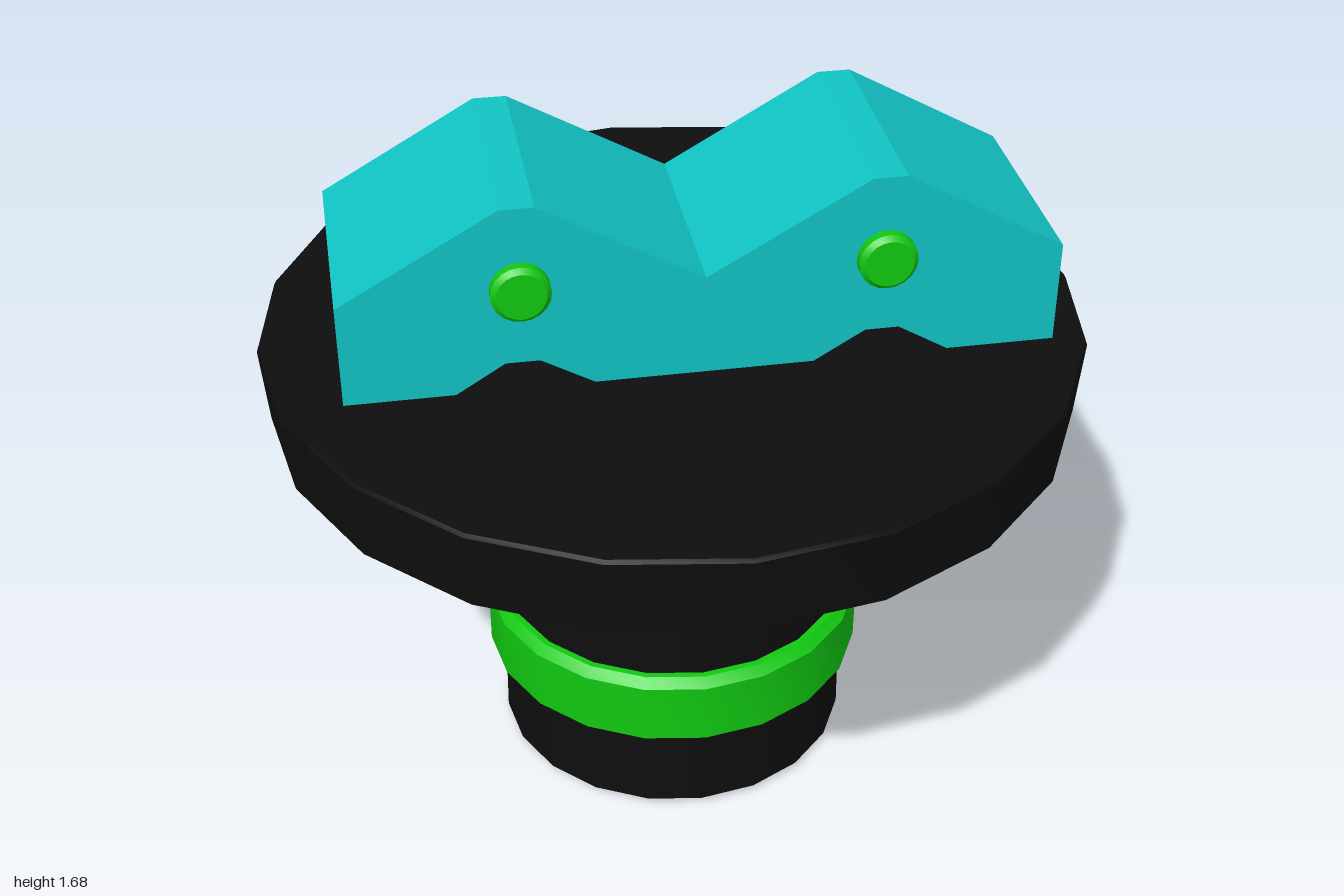
import * as THREE from 'three';
import { toCreasedNormals } from 'three/addons/utils/BufferGeometryUtils.js';

const mat = (color) => new THREE.MeshStandardMaterial({ color });
const black = mat(0x0e0e0e);
const green = mat(0x11c811);
const teal = mat(0x11c4c4);
const points = (list) => list.map(([x, y]) => new THREE.Vector2(x, y));

function addMesh(group, name, geometry, material) {
  const mesh = new THREE.Mesh(geometry, material);
  mesh.name = name;
  group.add(mesh);
  return mesh;
}

// Twenty-sided turned part, profile listed from bottom to top
const turned = (profile) =>
  toCreasedNormals(new THREE.LatheGeometry(points(profile), 20), 0.5);

export function createModel() {
  const group = new THREE.Group();

  // Cylindrical stem with a slightly bevelled foot
  addMesh(group, 'stem', turned([
    [0, 0], [0.435, 0], [0.45, 0.015], [0.447, 0.25], [0.44, 0.69], [0.44, 0.72],
  ]), black);

  // Stepped flange widening to the flat top plate
  addMesh(group, 'flange', turned([
    [0, 0.695], [0.45, 0.695], [0.5, 0.712], [0.59, 0.712], [0.755, 0.885],
    [0.8, 0.908], [0.985, 1.015], [1, 1.205], [0.995, 1.215], [0, 1.215],
  ]), black);

  // Raised band around the stem
  addMesh(group, 'band', turned([
    [0.43, 0.24], [0.465, 0.24], [0.485, 0.255], [0.485, 0.415],
    [0.46, 0.435], [0.43, 0.435],
  ]), green);

  // Double-peaked block with a notch under each peak
  const outline = points([
    [-0.81, 1.21], [-0.56, 1.21], [-0.435, 1.288], [-0.355, 1.288], [-0.22, 1.21],
    [0.28, 1.21], [0.41, 1.288], [0.49, 1.288], [0.62, 1.21], [0.873, 1.21],
    [0.873, 1.47], [0.49, 1.685], [0.41, 1.685], [0.03, 1.468],
    [-0.355, 1.685], [-0.435, 1.685], [-0.81, 1.47],
  ]);
  const block = new THREE.ExtrudeGeometry(new THREE.Shape(outline), {
    depth: 0.56, bevelEnabled: false,
  });
  block.translate(0, 0, -0.28);
  addMesh(group, 'twinPeakBlock', block, teal);

  // Pins passing through the block, with chamfered ends
  const pinProfile = points([
    [0, -0.315], [0.058, -0.315], [0.07, -0.303],
    [0.07, 0.303], [0.058, 0.315], [0, 0.315],
  ]);
  for (const x of [-0.395, 0.45]) {
    const geometry = toCreasedNormals(new THREE.LatheGeometry(pinProfile, 20), 0.5);
    const pin = addMesh(group, 'pin', geometry, green);
    pin.rotation.x = Math.PI / 2;
    pin.position.set(x, 1.48, 0);
  }

  return group;
}
